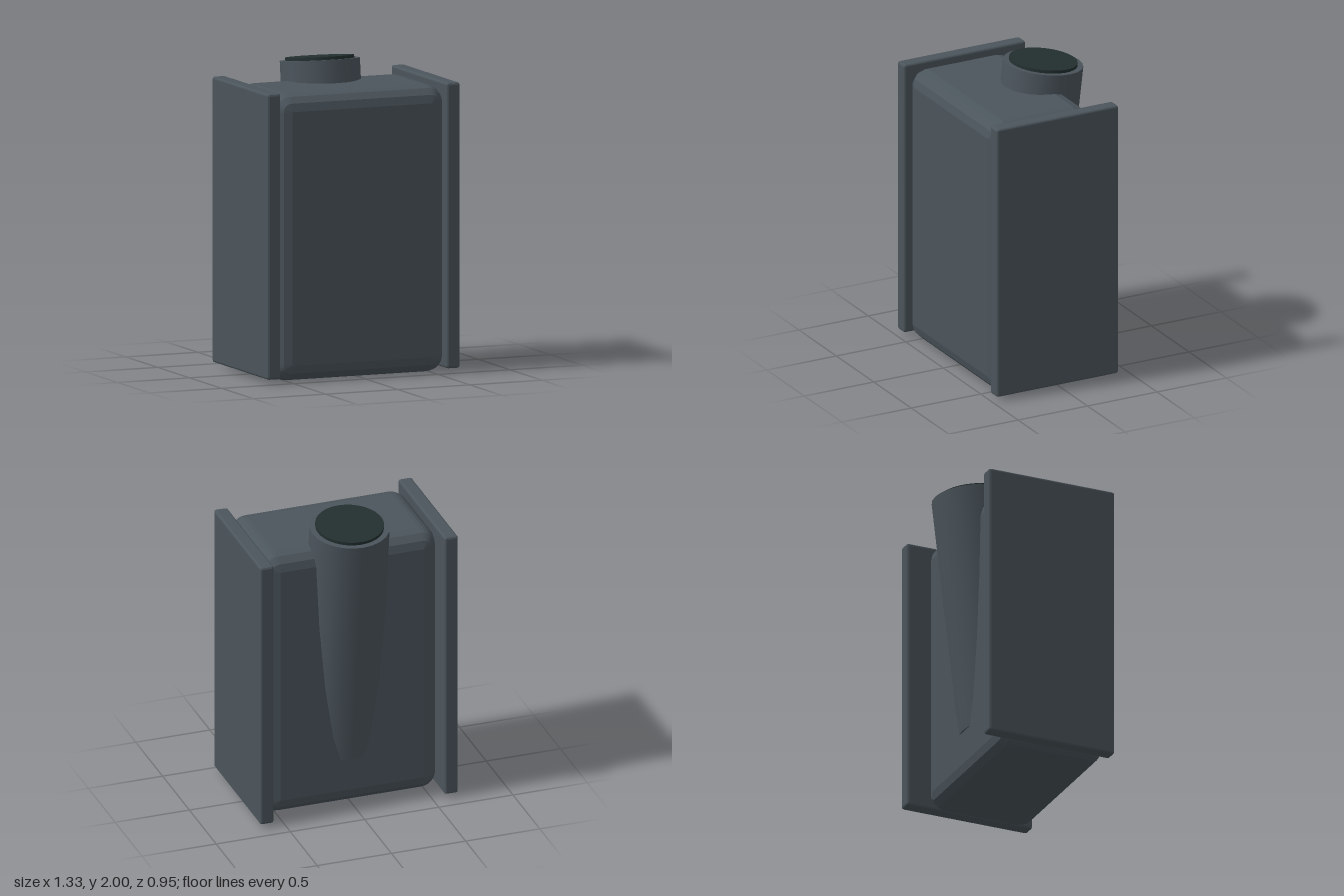
import * as THREE from 'three';

// Box with faceted rounded edges, spanning the given min/max corners
function bevelBox(min, max, r, segments) {
  const [w, h, d] = max.map((v, i) => v - min[i]);
  const c = r * 1.01; // corner radius kept just above the bevel
  const s = new THREE.Shape();
  const x = w / 2, y = h / 2;
  s.moveTo(-x + c, -y);
  s.lineTo(x - c, -y);
  s.absarc(x - c, -y + c, c, -Math.PI / 2, 0);
  s.lineTo(x, y - c);
  s.absarc(x - c, y - c, c, 0, Math.PI / 2);
  s.lineTo(-x + c, y);
  s.absarc(-x + c, y - c, c, Math.PI / 2, Math.PI);
  s.lineTo(-x, -y + c);
  s.absarc(-x + c, -y + c, c, Math.PI, Math.PI * 1.5);
  const g = new THREE.ExtrudeGeometry(s, {
    depth: d - 2 * r, curveSegments: segments, bevelEnabled: true,
    bevelSegments: segments, bevelSize: r, bevelThickness: r, bevelOffset: -r,
  });
  g.translate((min[0] + max[0]) / 2, (min[1] + max[1]) / 2, min[2] + r);
  return g;
}

export function createModel() {
  const group = new THREE.Group();
  const slate = new THREE.MeshStandardMaterial({ name: 'slate grey', color: 0x4b555c });
  const dark = new THREE.MeshStandardMaterial({ name: 'dark green grey', color: 0x232f2f });

  const add = (name, geometry, material, parent = group) => {
    const mesh = new THREE.Mesh(geometry, material);
    mesh.name = name;
    parent.add(mesh);
    return mesh;
  };

  // Main body
  add('body', bevelBox([-0.59, 0, -0.27], [0.59, 1.835, 0.445], 0.105, 3), slate);

  // Side panels
  for (const [name, x0, x1] of [['leftPanel', 0.575, 0.667], ['rightPanel', -0.667, -0.575]]) {
    add(name, bevelBox([x0, 0.028, -0.405], [x1, 1.857, 0.472], 0.015, 2), slate);
  }

  // Leaning tube sunk into the back, with a dark disc on its mouth
  const tube = new THREE.Group();
  tube.name = 'tube';
  tube.position.set(0, 1.953, -0.22);
  tube.rotation.x = -THREE.MathUtils.degToRad(6.8);
  group.add(tube);
  const length = 1.61;
  add('tubeWall', new THREE.CylinderGeometry(0.256, 0.256, length, 24).translate(0, -length / 2, 0), slate, tube);
  add('tubeDisc', new THREE.CylinderGeometry(0.219, 0.219, 0.04, 32), dark, tube);

  return group;
}
